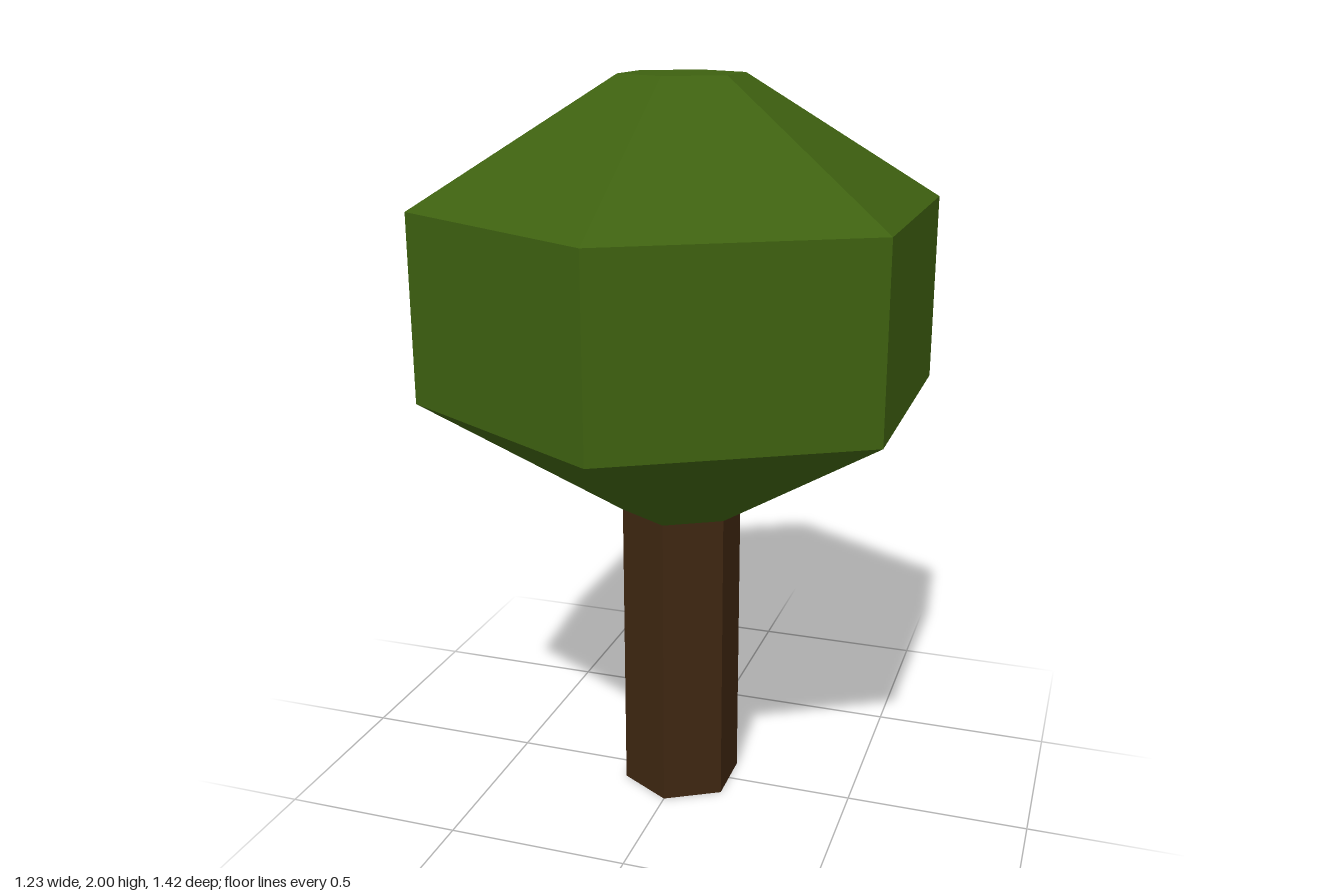
import * as THREE from 'three';

const SIDES = 6;
const TRUNK_R = 0.167, CROWN_R = 0.71;
const Y = { crownBase: 0.835, lowerRim: 1.17, upperRim: 1.67, top: 2 };

export function createModel() {
  const tree = new THREE.Group();
  tree.name = 'tree';

  const leafGreen = new THREE.MeshStandardMaterial({ color: 0x3e6110, flatShading: true });
  leafGreen.name = 'leaf green';
  const barkBrown = new THREE.MeshStandardMaterial({ color: 0x3e2611, flatShading: true });
  barkBrown.name = 'bark brown';

  // Hexagonal ring of faces between two heights
  const ring = (name, parent, material, rBottom, rTop, y0, y1) => {
    const geometry = new THREE.CylinderGeometry(rTop, rBottom, y1 - y0, SIDES, 1, true);
    const mesh = new THREE.Mesh(geometry, material);
    mesh.name = name;
    mesh.position.y = (y0 + y1) / 2;
    parent.add(mesh);
  };

  // Flat hexagon, facing up (+1) or down (-1)
  const cap = (name, parent, material, y, facing) => {
    const geometry = new THREE.CircleGeometry(TRUNK_R, SIDES, Math.PI / 2);
    const mesh = new THREE.Mesh(geometry, material);
    mesh.name = name;
    mesh.rotation.x = -facing * Math.PI / 2;
    mesh.position.y = y;
    parent.add(mesh);
  };

  // Trunk
  const trunk = new THREE.Group();
  trunk.name = 'trunk';
  ring('trunkSides', trunk, barkBrown, TRUNK_R, TRUNK_R, 0, Y.crownBase);
  cap('trunkBottom', trunk, barkBrown, 0, -1);

  // Leafy crown: flaring underside, straight band, tapering roof
  const crown = new THREE.Group();
  crown.name = 'crown';
  ring('crownUnderside', crown, leafGreen, TRUNK_R, CROWN_R, Y.crownBase, Y.lowerRim);
  ring('crownBand', crown, leafGreen, CROWN_R, CROWN_R, Y.lowerRim, Y.upperRim);
  ring('crownRoof', crown, leafGreen, CROWN_R, TRUNK_R, Y.upperRim, Y.top);
  cap('crownTop', crown, leafGreen, Y.top, 1);

  tree.add(trunk, crown);
  return tree;
}
